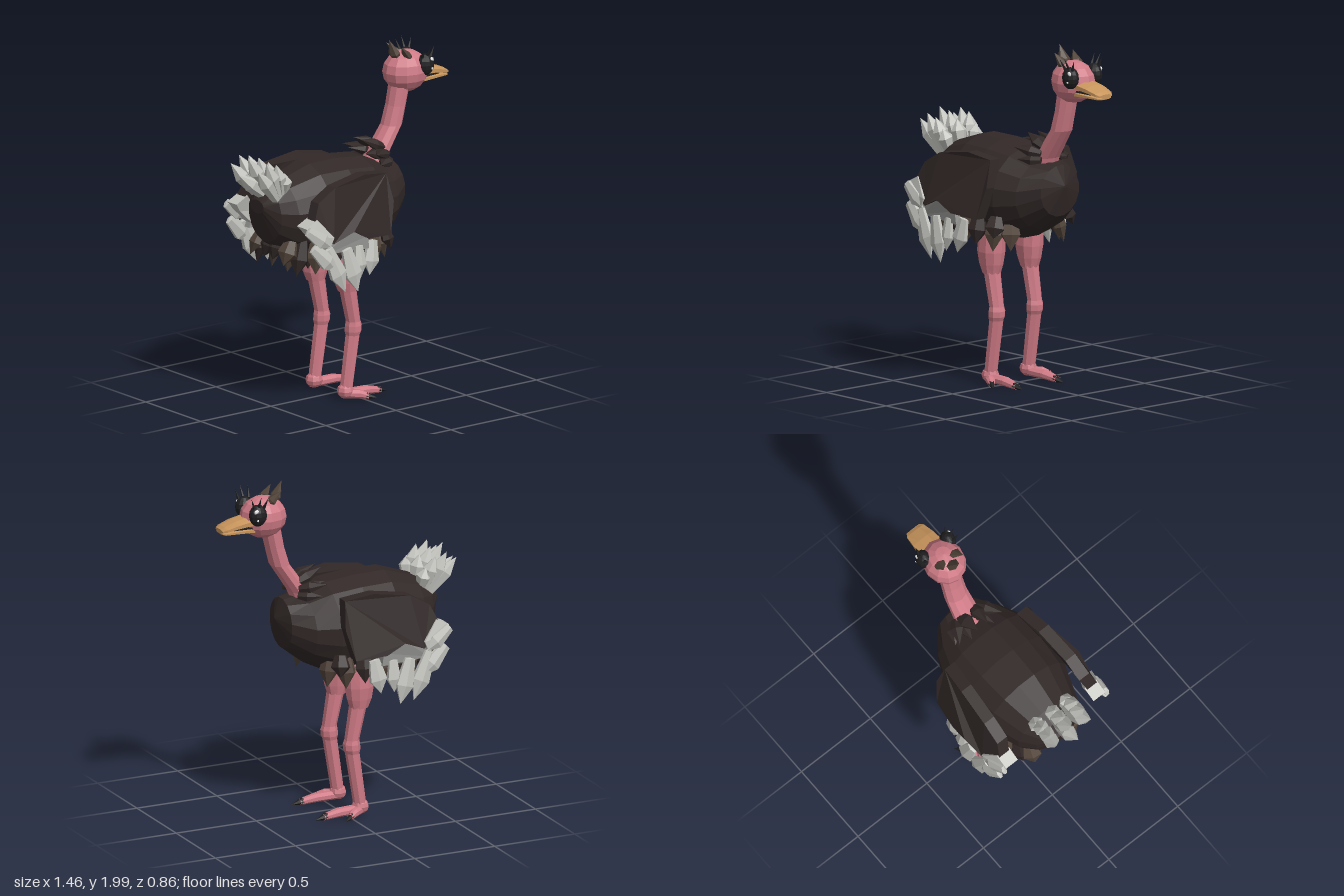
import * as THREE from 'three';

const mat = (name, color) => {
  const m = new THREE.MeshStandardMaterial({ color });
  m.name = name;
  return m;
};

export function createModel() {
  const root = new THREE.Group();
  root.name = 'ostrich';
  const dark = mat('dark plumage', 0x312827), brown = mat('brown plumage', 0x51443a);
  const light = mat('pale plumage', 0xc3c3be), grey = mat('grey plumage', 0x959593);
  const pink = mat('pink skin', 0xcf7b86), tan = mat('beak tan', 0xc8955c);
  const black = mat('black', 0x1f1f21), white = mat('eye glint', 0xe6e6e6);

  const v = (x, y, z) => new THREE.Vector3(x, y, z);
  const group = (name) => {
    const g = new THREE.Group();
    g.name = name;
    root.add(g);
    return g;
  };
  // Faceted mesh
  const add = (parent, name, geo, material) => {
    const g = geo.index ? geo.toNonIndexed() : geo;
    g.computeVertexNormals();
    const m = new THREE.Mesh(g, material);
    m.name = name;
    parent.add(m);
  };
  // Closed loft of elliptical rings. axis x: [x, yc, ry, rz]; axis y: [y, xc, rx, rz]
  const loft = (rings, sides, axis, zc = 0) => {
    const pos = [], idx = [], n = rings.length;
    const put = (t, c, p, q) => (axis === 'x' ? pos.push(t, c + p, zc + q) : pos.push(c + q, t, zc + p));
    for (const [t, c, a, b] of rings)
      for (let j = 0; j < sides; j++) {
        const w = ((j + 0.5) / sides) * Math.PI * 2;
        if (axis === 'x') put(t, c, a * Math.cos(w), b * Math.sin(w));
        else put(t, c, b * Math.cos(w), a * Math.sin(w));
      }
    put(rings[0][0], rings[0][1], 0, 0);
    put(rings[n - 1][0], rings[n - 1][1], 0, 0);
    const first = n * sides, last = first + 1;
    for (let j = 0; j < sides; j++) {
      const k = (j + 1) % sides;
      for (let i = 0; i < n - 1; i++) {
        const A = i * sides + j, B = i * sides + k;
        idx.push(A, B, A + sides, B, B + sides, A + sides);
      }
      idx.push(first, k, j, last, (n - 1) * sides + j, (n - 1) * sides + k);
    }
    const g = new THREE.BufferGeometry();
    g.setAttribute('position', new THREE.Float32BufferAttribute(pos, 3));
    g.setIndex(idx);
    return g;
  };
  // Flattened pointed feather from a to b; "out" is its thin direction
  const feather = (parent, name, a, b, width, thick, out, material, wide = 0.55) => {
    const pts = [[0, 0], [0.6, 0.02], [1, wide], [0, 1]].map(([r, y]) => new THREE.Vector2(r, y));
    const g = new THREE.LatheGeometry(pts, 6);
    const d = b.clone().sub(a), len = d.length();
    d.normalize();
    const side = d.clone().cross(out).normalize();
    const nrm = side.clone().cross(d);
    g.scale(width / 2, len, thick / 2);
    g.applyMatrix4(new THREE.Matrix4().makeBasis(side, d, nrm).setPosition(a));
    add(parent, name, g, material);
  };
  const spike = (parent, name, a, b, r, material) => {
    const len = a.distanceTo(b);
    const g = new THREE.ConeGeometry(r, len, 5).translate(0, len / 2, 0);
    g.applyQuaternion(new THREE.Quaternion().setFromUnitVectors(v(0, 1, 0), b.clone().sub(a).normalize()));
    add(parent, name, g.translate(a.x, a.y, a.z), material);
  };
  const ball = (parent, name, c, rx, ry, rz, material, w = 12, h = 8) =>
    add(parent, name, new THREE.SphereGeometry(1, w, h).scale(rx, ry, rz).translate(c.x, c.y, c.z), material);

  // Body
  add(root, 'body', loft([
    [-0.6, 1.195, 0.04, 0.06], [-0.54, 1.14, 0.16, 0.15], [-0.46, 1.125, 0.215, 0.215],
    [-0.27, 1.125, 0.28, 0.285], [-0.08, 1.125, 0.28, 0.305], [0.1, 1.12, 0.265, 0.295],
    [0.23, 1.125, 0.205, 0.235], [0.345, 1.16, 0.148, 0.145], [0.388, 1.19, 0.008, 0.008],
  ], 16, 'x'), dark);

  // Neck and head
  add(root, 'neck', loft([
    [1.25, 0.2, 0.07, 0.085], [1.34, 0.24, 0.062, 0.08], [1.51, 0.357, 0.056, 0.07],
    [1.62, 0.388, 0.053, 0.067], [1.76, 0.418, 0.056, 0.07],
  ], 10, 'y'), pink);
  const head = group('head');
  ball(head, 'skull', v(0.458, 1.805, 0), 0.137, 0.121, 0.121, pink);
  add(head, 'upperBeak', loft([[0.54, 1.798, 0.034, 0.084], [0.64, 1.784, 0.026, 0.077],
    [0.71, 1.767, 0.017, 0.066], [0.731, 1.76, 0.01, 0.05]], 8, 'x'), tan);
  add(head, 'lowerBeak', loft([[0.54, 1.748, 0.022, 0.076], [0.64, 1.749, 0.016, 0.07],
    [0.715, 1.746, 0.011, 0.058], [0.728, 1.746, 0.006, 0.044]], 8, 'x'), tan);
  add(head, 'mouth', loft([[0.55, 1.768, 0.012, 0.076], [0.66, 1.76, 0.004, 0.05]], 8, 'x'), black);
  for (const s of [1, -1]) {
    ball(head, 'eye', v(0.532, 1.845, 0.088 * s), 0.053, 0.063, 0.045, black);
    ball(head, 'eyeGlint', v(0.553, 1.874, 0.117 * s), 0.016, 0.015, 0.008, white, 8, 6);
    ball(head, 'smallEyeGlint', v(0.55, 1.826, 0.127 * s), 0.007, 0.007, 0.005, white, 6, 4);
    for (const [x, tx, ty, tz] of [[0.5, 0.488, 1.955, 0.132], [0.533, 0.535, 1.965, 0.138], [0.56, 0.58, 1.95, 0.105]])
      spike(head, 'eyelash', v(x, 1.892, 0.1 * s), v(tx, ty, tz * s), 0.01, black);
    feather(head, 'sideCrest', v(0.45, 1.885, 0.045 * s), v(0.375, 1.965, 0.07 * s), 0.075, 0.045, v(1, 0.5, 0), brown, 0.3);
  }
  feather(head, 'backCrest', v(0.4, 1.87, 0), v(0.342, 2.0, 0), 0.08, 0.06, v(1, 0.4, 0), brown, 0.35);

  // Collar of pointed feathers behind the neck
  const collar = group('collar');
  for (const s of [1, -1])
    for (const [a, b] of [
      [[0.27, 1.4, 0.045], [0.115, 1.465, 0.035]], [[0.27, 1.37, 0.07], [0.13, 1.4, 0.155]],
      [[0.26, 1.36, 0.05], [0.11, 1.395, 0.08]], [[0.28, 1.335, 0.08], [0.16, 1.335, 0.16]]])
      feather(collar, 'collarFeather', v(a[0], a[1], a[2] * s), v(b[0], b[1], b[2] * s), 0.09, 0.06, v(0, 1, 0.3 * s), dark, 0.4);

  // Tail plume: three columns of pale feathers
  const tail = group('tail');
  const sideTips = [[-0.69, 1.435], [-0.63, 1.475], [-0.56, 1.46], [-0.5, 1.4]];
  for (const [z, tips] of [[0, [[-0.73, 1.4], [-0.665, 1.49], [-0.59, 1.48], [-0.52, 1.44]]], [0.1, sideTips], [-0.1, sideTips]])
    tips.forEach(([x, y], i) =>
      feather(tail, 'tailFeather', v(-0.53 + i * 0.015, 1.24 + i * 0.012, z * 0.9), v(x, y, z * 1.25), 0.095, 0.09, v(0.7, 1, 0), light, 0.6));

  // Wings: leaning, bulging plates with pale feathers along the lower edge
  const outline = (pts) => new THREE.Shape(pts.map((p) => new THREE.Vector2(...p)));
  const lean = (x, y) => 0.265 + 0.085 * Math.min(1, Math.max(0, (1.36 - y) / 0.27)) - 0.16 * Math.abs(x + 0.2);
  const wingPlate = (pts, s, depth, shift) => {
    const g = new THREE.ExtrudeGeometry(outline(pts), { depth, bevelEnabled: false });
    const p = g.attributes.position;
    for (let i = 0; i < p.count; i++) {
      const off = lean(p.getX(i), p.getY(i)) + shift;
      p.setZ(i, s > 0 ? p.getZ(i) + off : p.getZ(i) - depth - off);
    }
    return g;
  };
  for (const s of [1, -1]) {
    const wing = group(s > 0 ? 'leftWing' : 'rightWing');
    add(wing, 'wingPlate', wingPlate([[-0.47, 1.15], [-0.42, 1.255], [-0.3, 1.325], [-0.08, 1.36], [0.09, 1.335],
      [0.108, 1.18], [0.06, 1.0], [-0.12, 1.015], [-0.23, 1.075], [-0.36, 1.02]].reverse(), s, 0.07, 0), dark);
    add(wing, 'featherRoot', wingPlate([[-0.4, 0.96], [-0.1, 0.95], [-0.11, 1.025], [-0.23, 1.085], [-0.37, 1.03]], s, 0.04, 0.01), grey);
    add(wing, 'rearFeather', wingPlate([[-0.49, 1.08], [-0.39, 0.99], [-0.36, 1.06], [-0.45, 1.17], [-0.53, 1.13]], s, 0.085, -0.01), light);
    for (const [ax, ay, bx, by, z, w] of [
      [-0.53, 1.12, -0.37, 1.0, 0.37, 0.1], [-0.5, 1.02, -0.34, 0.86, 0.38, 0.11],
      [-0.4, 1.0, -0.285, 0.73, 0.385, 0.12], [-0.27, 0.98, -0.2, 0.72, 0.39, 0.12],
      [-0.17, 0.98, -0.17, 0.79, 0.375, 0.09], [-0.06, 0.99, -0.095, 0.79, 0.36, 0.115]])
      feather(wing, 'wingFeather', v(ax, ay, z * s), v(bx, by, (z + 0.02) * s), w, 0.055, v(0, 0, 1), light, 0.6);
  }

  // Fringe hanging from the belly sides and rear: [base x, base z, tip x, tip y, tip z, material]
  const fringe = group('bellyFringe');
  for (const s of [1, -1])
    for (const [ax, az, bx, by, bz, m] of [
      [0.1, 0.26, 0.12, 0.89, 0.3, dark], [0.12, 0.17, 0.155, 0.81, 0.2, brown], [0.05, 0.22, 0.06, 0.8, 0.25, brown],
      [-0.05, 0.25, -0.04, 0.83, 0.29, dark], [-0.15, 0.25, -0.15, 0.81, 0.28, brown], [-0.25, 0.24, -0.26, 0.83, 0.28, dark],
      [-0.34, 0.21, -0.37, 0.81, 0.24, brown], [-0.41, 0.17, -0.46, 0.8, 0.18, dark], [-0.46, 0.14, -0.53, 0.87, 0.15, brown],
      [-0.4, 0.07, -0.44, 0.8, 0.07, brown], [-0.46, 0.03, -0.52, 0.88, 0.04, dark], [-0.32, 0.1, -0.33, 0.81, 0.12, dark]])
      feather(fringe, 'fringeFeather', v(ax, 1.01, az * s), v(bx, by, bz * s), 0.12, 0.075,
        v(ax + 0.16, 0, az * s), m, 0.55);

  // Legs and two-toed feet
  for (const s of [1, -1]) {
    const leg = group(s > 0 ? 'leftLeg' : 'rightLeg'), z = 0.143 * s;
    add(leg, 'thigh', loft([[0.645, -0.07, 0.055, 0.05], [0.7, -0.073, 0.076, 0.062], [0.77, -0.073, 0.088, 0.072],
      [0.86, -0.07, 0.088, 0.068], [0.95, -0.07, 0.07, 0.06]], 10, 'y', z), pink);
    add(leg, 'shin', loft([[0.05, -0.08, 0.036, 0.04], [0.38, -0.03, 0.041, 0.043], [0.402, -0.027, 0.049, 0.05],
      [0.435, -0.025, 0.049, 0.05], [0.46, -0.027, 0.042, 0.044], [0.67, -0.068, 0.051, 0.05]], 8, 'y', z), pink);
    ball(leg, 'ankle', v(-0.08, 0.06, z), 0.05, 0.045, 0.05, pink, 8, 6);
    const toe = (name, len, r, turn, zo) => {
      const g = new THREE.Group();
      g.name = name;
      g.position.set(-0.08, 0, z + zo * s);
      g.rotation.y = -turn * s;
      leg.add(g);
      add(g, 'toe', loft([[-0.02, 0.045, 0.027, r], [len * 0.6, 0.042, 0.026, r], [len, 0.028, 0.018, r * 0.65]], 8, 'x'), pink);
      add(g, 'claw', loft([[len - 0.035, 0.034, 0.016, r * 0.6], [len - 0.01, 0.031, 0.021, r * 0.75],
        [len + 0.045, 0.018, 0.002, 0.002]], 6, 'x'), black);
    };
    toe('mainToe', 0.235, 0.036, 0.04, 0);
    toe('outerToe', 0.125, 0.027, 0.6, 0.01);
  }
  return root;
}
